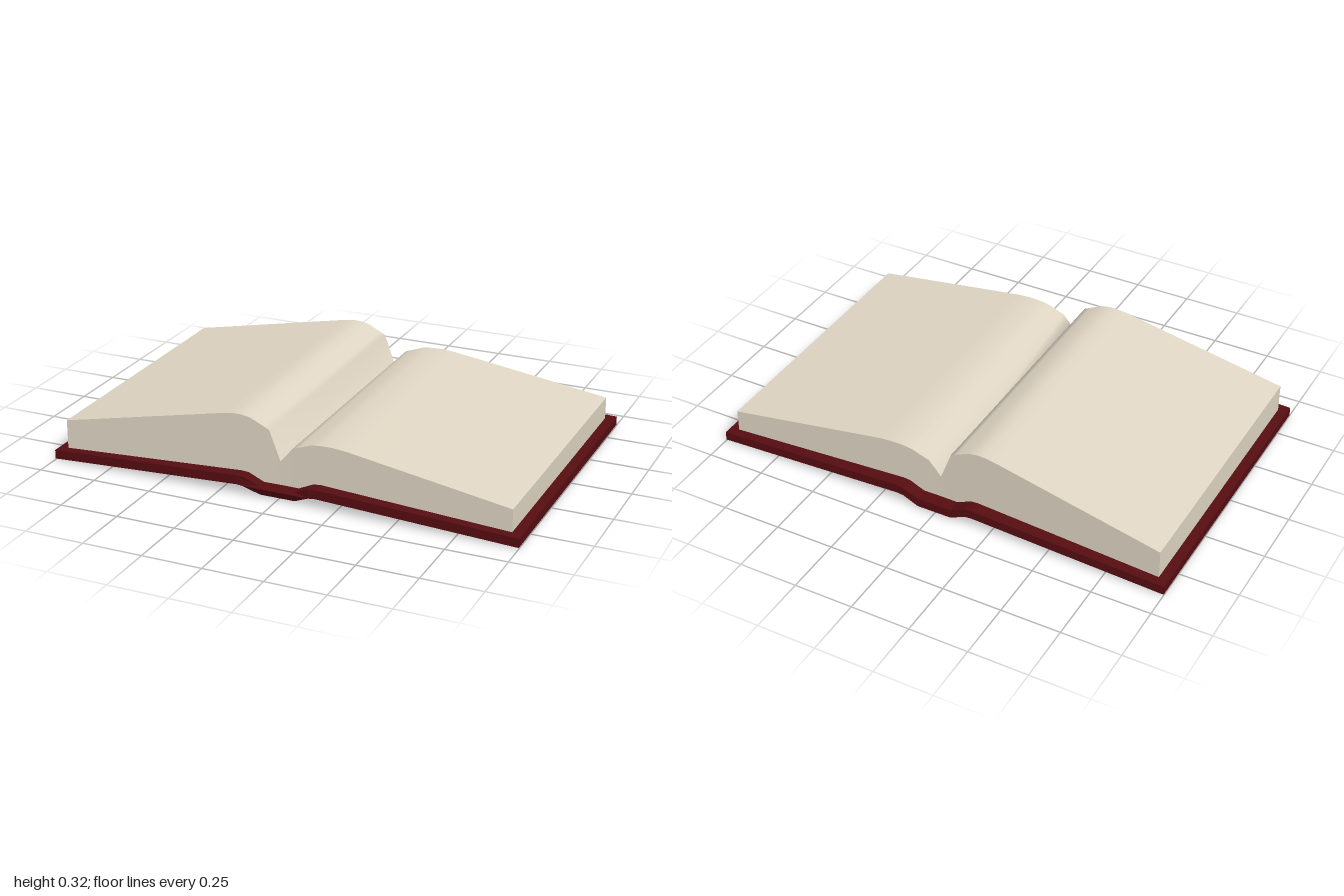
import * as THREE from 'three';
import { mergeGeometries } from 'three/addons/utils/BufferGeometryUtils.js';

const leather = new THREE.MeshStandardMaterial({ color: 0x560d11 });
const gold = new THREE.MeshStandardMaterial({ color: 0x96692a });
const paper = new THREE.MeshStandardMaterial({ color: 0xe0d6c4 });

// Underside of the cover: two sloping boards and a sunken spine
const UNDER = [[-1, 0.006], [-0.17, 0.046], [-0.14, 0.043], [-0.075, 0.013], [0.075, 0.013],
  [0.14, 0.043], [0.17, 0.046], [1, 0.006]];
const THICK = 0.038;

// Upper outline of the open pages
const TOP = [[-0.96, 0.168], [-0.25, 0.316], [-0.2, 0.323], [-0.17, 0.323], [-0.13, 0.316],
  [-0.05, 0.277], [-0.003, 0.152], [0.05, 0.215], [0.13, 0.244], [0.17, 0.249],
  [0.22, 0.25], [0.28, 0.245], [0.96, 0.14]];

// Height on a polyline at x
function heightAt(line, x) {
  for (let i = 1; i < line.length; i++) {
    const [x0, y0] = line[i - 1], [x1, y1] = line[i];
    if (x <= x1) return y0 + (y1 - y0) * (x - x0) / (x1 - x0);
  }
  return line[line.length - 1][1];
}

// Slab that follows the cover's underside between x0..x1 and z0..z1
function slab(x0, x1, z0, z1, low, high) {
  const xs = [x0, ...UNDER.map(p => p[0]).filter(x => x > x0 && x < x1), x1];
  const pts = xs.map(x => new THREE.Vector2(x, heightAt(UNDER, x) + low));
  xs.reverse().forEach(x => pts.push(new THREE.Vector2(x, heightAt(UNDER, x) + high)));
  const geo = new THREE.ExtrudeGeometry(new THREE.Shape(pts), { depth: z1 - z0, bevelEnabled: false });
  return geo.translate(0, 0, z0);
}

// Gilt pieces lie just below the leather
const inlay = (x0, x1, z0, z1) => slab(x0, x1, z0, z1, -0.006, 0.002);

// Rectangular gilt outline of width w
function outline(x0, x1, z0, z1, w) {
  return [inlay(x0, x1, z0, z0 + w), inlay(x0, x1, z1 - w, z1),
    inlay(x0, x0 + w, z0 + w, z1 - w), inlay(x1 - w, x1, z0 + w, z1 - w)];
}

// Smooth surface between two rows of points
function strip(a, b) {
  const n = a.length, index = [];
  for (let i = 0; i < n - 1; i++) index.push(i, i + 1, n + i, i + 1, n + i + 1, n + i);
  const geo = new THREE.BufferGeometry();
  geo.setAttribute('position', new THREE.Float32BufferAttribute([...a, ...b].flat(), 3));
  geo.setIndex(index);
  geo.computeVertexNormals();
  return geo;
}

export function createModel() {
  const book = new THREE.Group();
  book.name = 'openBook';
  const add = (geo, mat, name) => {
    const mesh = new THREE.Mesh(geo, mat);
    mesh.name = name;
    book.add(mesh);
  };

  // Leather cover, the front end of the spine slightly drawn in
  const cover = slab(-1, 1, -0.638, 0.636, 0, THICK);
  const pos = cover.attributes.position;
  for (let i = 0; i < pos.count; i++) {
    if (pos.getZ(i) > 0 && Math.abs(pos.getX(i)) < 0.1) pos.setZ(i, 0.621);
  }
  cover.computeVertexNormals();
  add(cover, leather, 'cover');

  // Page block: top, ends and fore edges
  const xs = [...TOP.map(p => p[0]), -0.6, 0.6, -0.075, 0.075].sort((a, b) => a - b);
  const halfZ = x => 0.58 + 0.018 * Math.abs(x) / 0.96;
  const upper = s => xs.map(x => [x, heightAt(TOP, x), s * halfZ(x)]);
  const lower = s => xs.map(x => [x, heightAt(UNDER, x) + THICK - 0.002, s * halfZ(x)]);
  const last = xs.length - 1;
  const [uf, ub, lf, lb] = [upper(1), upper(-1), lower(1), lower(-1)];
  add(mergeGeometries([
    strip(uf, ub), strip(lf, uf), strip(ub, lb),
    strip([lf[last], lb[last]], [uf[last], ub[last]]),
    strip([lb[0], lf[0]], [ub[0], uf[0]]),
  ]), paper, 'pages');

  // Gilt border around the underside
  add(mergeGeometries(outline(-0.96, 0.96, -0.6, 0.6, 0.035)), gold, 'giltBorder');

  // Nested squares in each corner
  for (const sx of [-1, 1]) for (const sz of [-1, 1]) {
    const cx = sx * 0.885, cz = sz * 0.525;
    const square = (r, w) => outline(cx - r, cx + r, cz - r, cz + r, w);
    add(mergeGeometries([...square(0.065, 0.022), ...square(0.028, 0.02)]), gold, 'cornerOrnament');
  }

  // Bands across the spine
  for (const s of [-1, 1]) add(inlay(-0.17, 0.17, s * 0.425 - 0.035, s * 0.425 + 0.035), gold, 'spineBand');

  return book;
}
